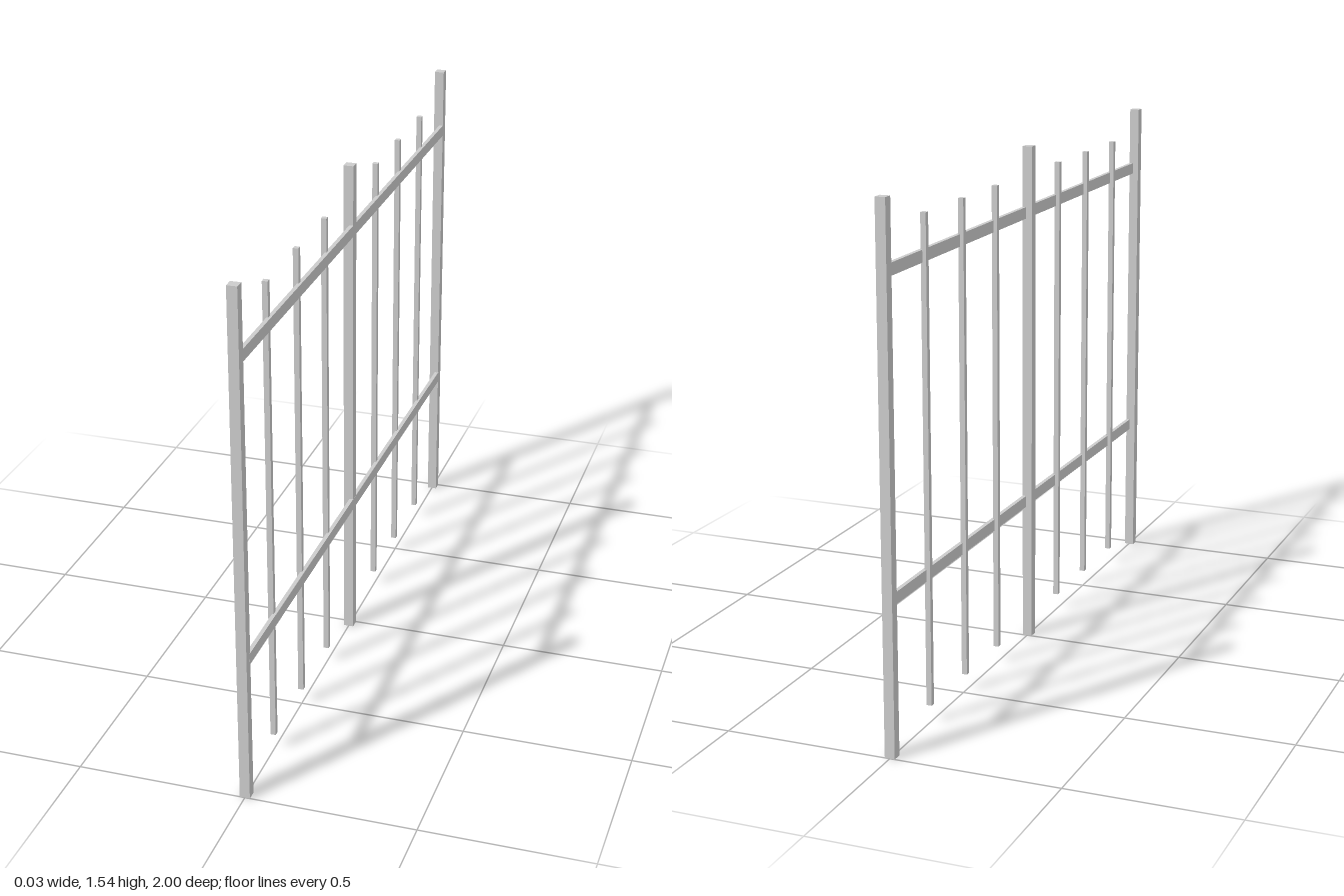
import * as THREE from 'three';

export function createModel() {
  const group = new THREE.Group();
  const material = new THREE.MeshStandardMaterial({ color: 0xcccccc, flatShading: true });

  // Box given by its size and centre
  function bar(name, w, h, d, x, y, z) {
    const mesh = new THREE.Mesh(new THREE.BoxGeometry(w, h, d), material);
    mesh.name = name;
    mesh.position.set(x, y, z);
    group.add(mesh);
  }

  // Square posts at both ends and near the middle
  for (const z of [0.985, 0.016, -0.985]) bar('post', 0.03, 1.54, 0.03, 0, 0.77, z);

  // Thin pickets, raised off the ground
  for (const z of [0.75, 0.5, 0.255, -0.244, -0.484, -0.733]) {
    bar('picket', 0.016, 1.406, 0.016, 0, 0.757, z);
  }

  // Flat rails running between the end posts, on the +x side
  for (const y of [0.44, 1.341]) bar('rail', 0.012, 0.035, 1.95, 0.0092, y, 0);

  return group;
}
